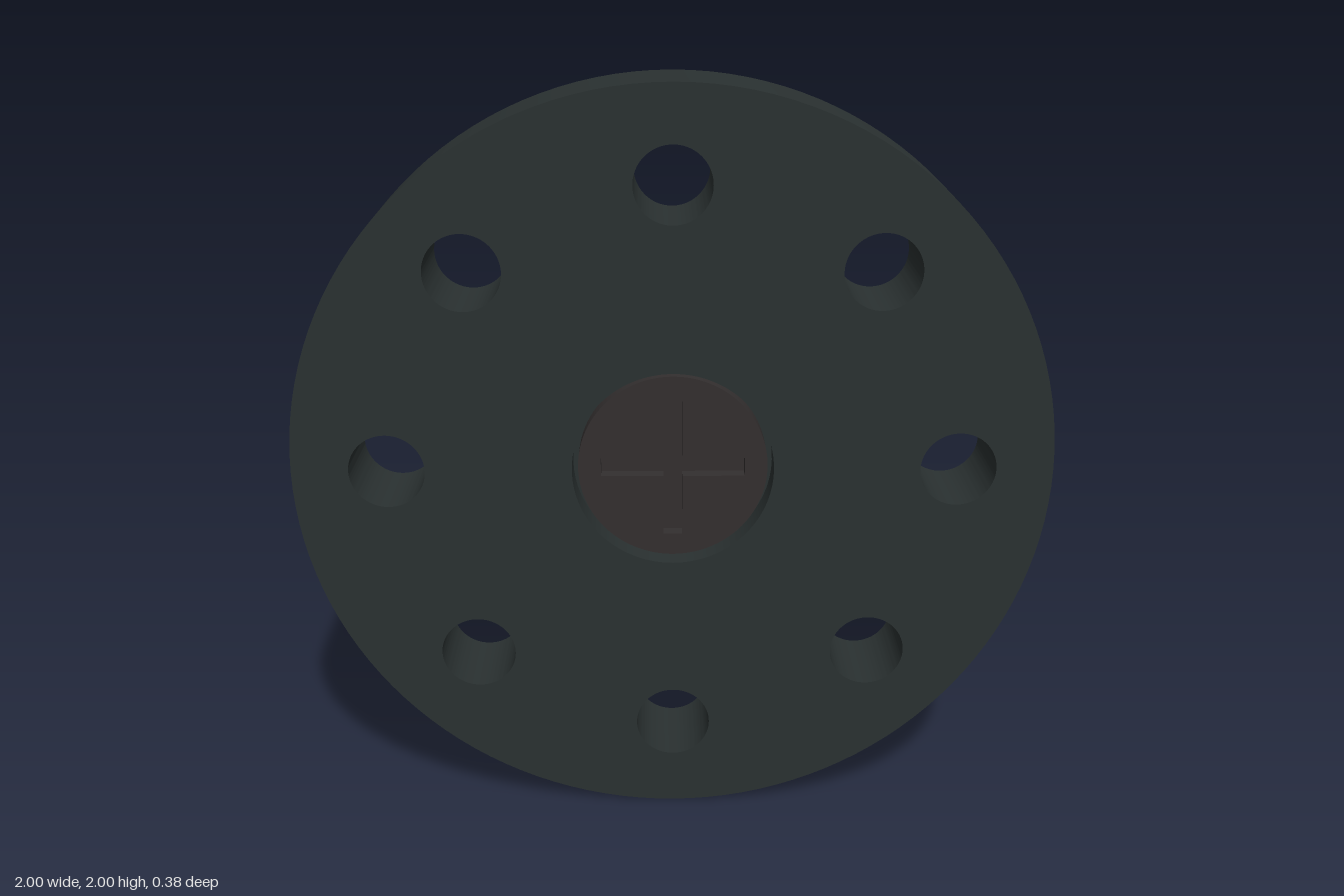
import * as THREE from 'three';
import { toCreasedNormals } from 'three/addons/utils/BufferGeometryUtils.js';

const FRONT = 0.1875, BACK = -0.0625, HUB_BACK = -0.1875;
const BORE_R = 0.265, SCREW_R = 0.25;
const SCREW_FRONT = FRONT - 0.025, SLOT_DEPTH = 0.0375, BORE_DEPTH = 0.08;

const disc = (r, x = 0, y = 0) => new THREE.Shape().absarc(x, y, r, 0, Math.PI * 2);

export function createModel() {
  const model = new THREE.Group();
  const body = new THREE.MeshStandardMaterial({ color: 0x2a3131 });
  const metal = new THREE.MeshStandardMaterial({ color: 0x332f2f });

  const add = (name, geometry, material, z) => {
    const mesh = new THREE.Mesh(geometry, material);
    mesh.name = name;
    mesh.position.set(0, 1, z);
    model.add(mesh);
  };
  const extrude = (shape, depth, curveSegments = 64) => toCreasedNormals(
    new THREE.ExtrudeGeometry(shape, { depth, curveSegments, bevelEnabled: false }), 0.6);

  // Flange plate with a ring of eight through holes and a central bore
  const plate = disc(1);
  for (let i = 0; i < 8; i++) {
    const a = i * Math.PI / 4;
    plate.holes.push(disc(0.1, 0.75 * Math.cos(a), 0.75 * Math.sin(a)));
  }
  plate.holes.push(disc(BORE_R));
  add('flangePlate', extrude(plate, FRONT - BACK), body, BACK);
  add('boreFloor', new THREE.CircleGeometry(BORE_R, 64), body, FRONT - BORE_DEPTH);

  // Raised hub on the back
  add('rearHub', extrude(disc(0.4), BACK - HUB_BACK), body, HUB_BACK);

  // Screw head with a cross slot, sunk in the bore
  const head = disc(SCREW_R);
  const w = 0.025, l = 0.19;
  const cross = [];
  for (let i = 0; i < 4; i++) {
    for (const [x, y] of [[w, -w], [l, -w], [l, w]].slice(1)) {
      cross.push(new THREE.Vector2(x, y).rotateAround(new THREE.Vector2(), i * Math.PI / 2));
    }
    cross.push(new THREE.Vector2(w, w).rotateAround(new THREE.Vector2(), i * Math.PI / 2));
  }
  head.holes.push(new THREE.Path(cross));
  const headDepth = BORE_DEPTH - (FRONT - SCREW_FRONT);
  add('screwHead', extrude(head, headDepth), metal, SCREW_FRONT - headDepth);
  add('slotFloor', new THREE.ShapeGeometry(new THREE.Shape(cross)), metal, SCREW_FRONT - SLOT_DEPTH);

  return model;
}
